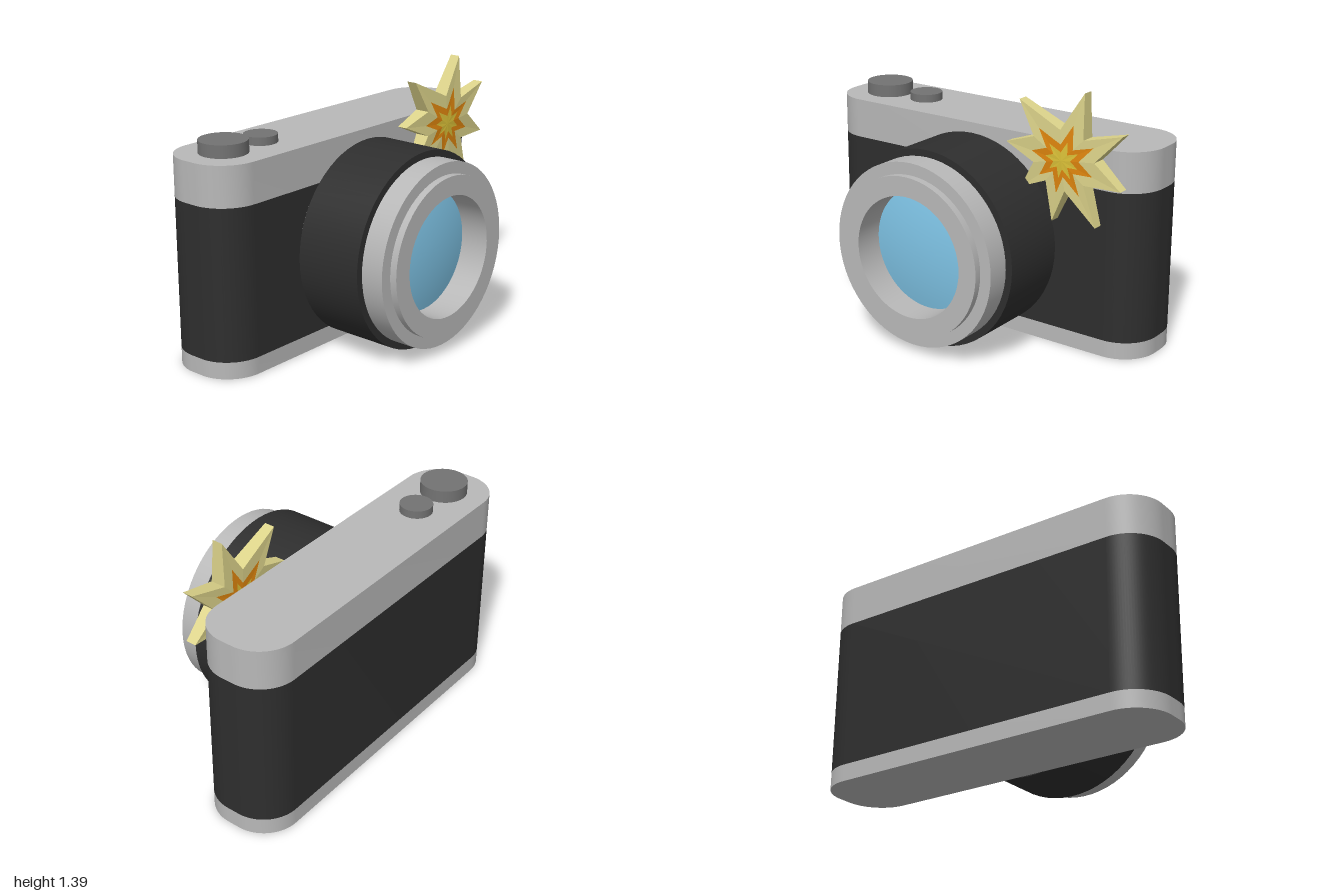
import * as THREE from 'three';
import { toCreasedNormals } from 'three/addons/utils/BufferGeometryUtils.js';

const paint = (name, color) => {
  const m = new THREE.MeshStandardMaterial({ color });
  m.name = name;
  return m;
};

export function createModel() {
  const silver = paint('silver', 0xb8b8b8);
  const black = paint('black leather', 0x2e2e2e);
  const darkGrey = paint('dark grey', 0x737373);
  const blue = paint('glass blue', 0x7fc4e6);
  const pale = paint('pale yellow', 0xdcd38a);
  const orange = paint('orange', 0xe0860e);
  const yellow = paint('yellow', 0xdcc238);

  const model = new THREE.Group();
  model.name = 'camera';
  const add = (name, geometry, material, parent = model) => {
    const mesh = new THREE.Mesh(geometry, material);
    mesh.name = name;
    parent.add(mesh);
    return mesh;
  };

  // Body: three stacked slabs with rounded ends
  const w = 1, d = 0.235, r = 0.2;
  const outline = new THREE.Shape();
  outline.moveTo(-w + r, -d);
  outline.absarc(w - r, -d + r, r, -Math.PI / 2, 0);
  outline.absarc(w - r, d - r, r, 0, Math.PI / 2);
  outline.absarc(-w + r, d - r, r, Math.PI / 2, Math.PI);
  outline.absarc(-w + r, -d + r, r, Math.PI, Math.PI * 1.5);
  const slab = (name, y0, y1, material) => {
    const g = new THREE.ExtrudeGeometry(outline, { depth: y1 - y0, bevelEnabled: false, curveSegments: 12 });
    g.rotateX(-Math.PI / 2).translate(0, y0, -0.287);
    add(name, toCreasedNormals(g, 0.6), material);
  };
  slab('basePlate', 0, 0.09, silver);
  slab('leatherBody', 0.09, 0.89, black);
  slab('topPlate', 0.89, 1.103, silver);

  // Dial and shutter button
  const button = (name, x, radius, height) => {
    const b = add(name, new THREE.CylinderGeometry(radius, radius, height, 40), darkGrey);
    b.position.set(x, 1.103 + height / 2, -0.287);
  };
  button('dial', -0.77, 0.126, 0.067);
  button('shutterButton', -0.512, 0.088, 0.043);

  // Lens: profiles of [radius, z] turned about the z axis
  const lens = new THREE.Group();
  lens.name = 'lens';
  lens.position.y = 0.533;
  model.add(lens);
  const turned = (name, profile, material) => {
    const g = new THREE.LatheGeometry(profile.map(([x, y]) => new THREE.Vector2(x, y)), 64);
    g.rotateX(Math.PI / 2);
    add(name, toCreasedNormals(g, 0.6), material, lens);
  };
  turned('lensBarrel', [[0.488, -0.06], [0.488, 0.487], [0.425, 0.487], [0.425, 0.525], [0.322, 0.525], [0.322, 0.36]], silver);
  turned('focusRing', [[0.486, -0.02], [0.525, -0.02], [0.525, 0.361], [0.486, 0.361]], black);
  const dome = [];
  for (let i = 0; i <= 8; i++) {
    const t = 1 - i / 8;
    dome.push([0.322 * t, 0.365 + 0.035 * (1 - t * t)]);
  }
  turned('lensGlass', dome, blue);

  // Flash burst: tips and valleys alternate counterclockwise
  const star = [
    [0.93, 1.211], [0.717, 1.158], [0.711, 1.39], [0.583, 1.19],
    [0.332, 1.304], [0.428, 1.131], [0.255, 1.072], [0.428, 0.997],
    [0.345, 0.85], [0.503, 0.915], [0.535, 0.705], [0.615, 0.88],
    [0.788, 0.718], [0.722, 0.93], [0.925, 0.932], [0.781, 1.056],
  ];
  const cx = 0.595, cy = 1.035, cz = 0.005, middle = 0.046;
  // Point i of the outline shrunk by k, on the front (side 1) or back (side -1)
  const at = (i, k, side) => {
    const [x, y] = star[i % star.length];
    const rim = i % 2 ? 0.041 : 0.028;
    return [cx + (x - cx) * k, cy + (y - cy) * k, cz + side * (middle + (rim - middle) * k)];
  };
  const burst = new THREE.Group();
  burst.name = 'flashBurst';
  model.add(burst);
  const layer = (name, inner, outer, material, edge) => {
    const p = [];
    const quad = (a, b, c, e) => p.push(...a, ...b, ...c, ...a, ...c, ...e);
    for (let i = 0; i < star.length; i++) {
      quad(at(i, inner, 1), at(i, outer, 1), at(i + 1, outer, 1), at(i + 1, inner, 1));
      quad(at(i + 1, inner, -1), at(i + 1, outer, -1), at(i, outer, -1), at(i, inner, -1));
      if (edge) quad(at(i, 1, -1), at(i + 1, 1, -1), at(i + 1, 1, 1), at(i, 1, 1));
    }
    const g = new THREE.BufferGeometry();
    g.setAttribute('position', new THREE.Float32BufferAttribute(p, 3));
    g.computeVertexNormals();
    add(name, g, material, burst);
  };
  layer('burstOuter', 0.53, 1, pale, true);
  layer('burstMiddle', 0.28, 0.53, orange, false);
  layer('burstCore', 0, 0.28, yellow, false);

  return model;
}
